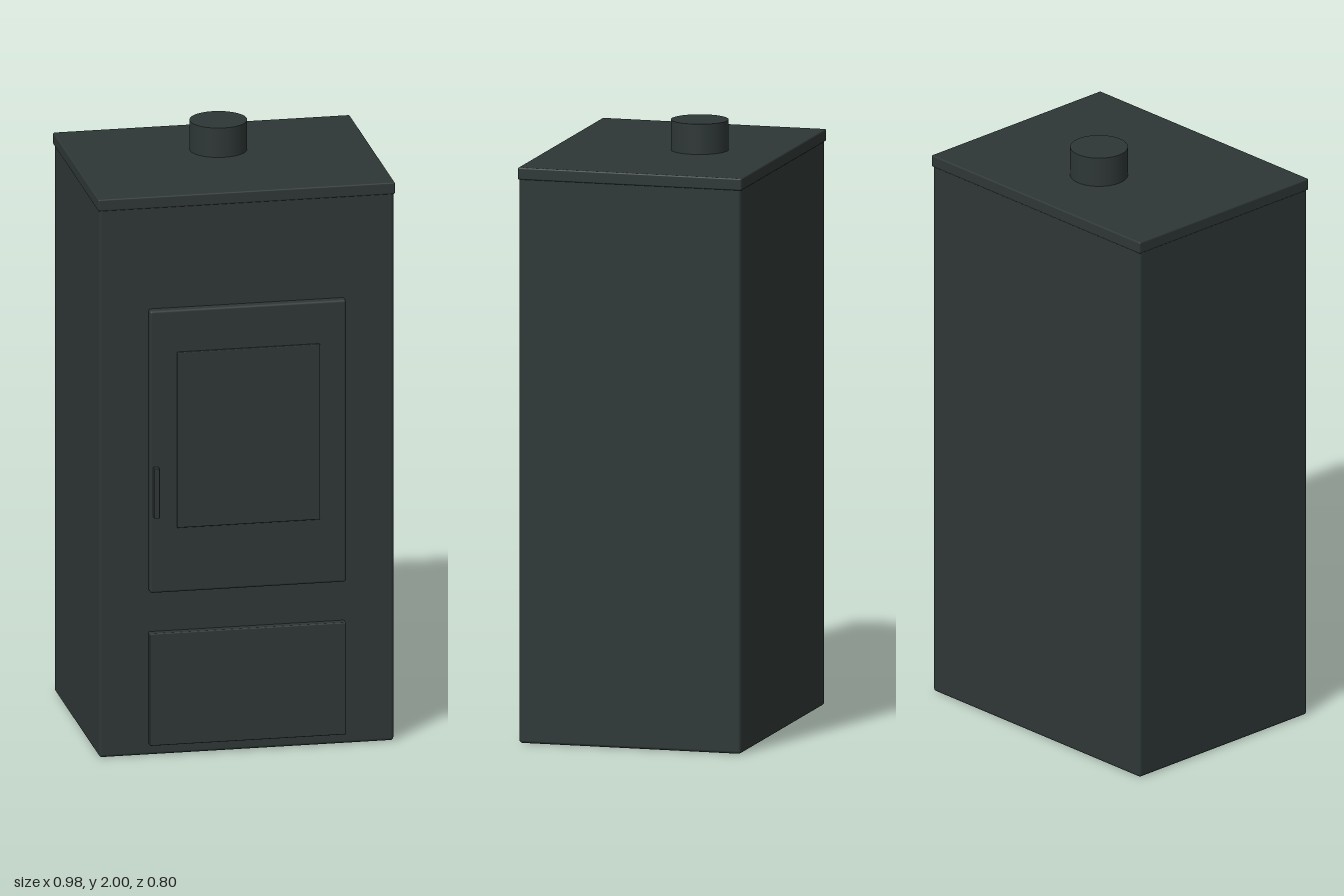
import * as THREE from 'three';
import { RoundedBoxGeometry } from 'three/addons/geometries/RoundedBoxGeometry.js';

const iron = new THREE.MeshStandardMaterial({ color: 0x2e3736 });
iron.name = 'dark iron';

// Rounded box given by its [min, max] range on each axis
function block(name, [x0, x1], [y0, y1], [z0, z1], radius) {
  const geometry = new RoundedBoxGeometry(x1 - x0, y1 - y0, z1 - z0, 3, radius);
  const mesh = new THREE.Mesh(geometry, iron);
  mesh.name = name;
  mesh.position.set((x0 + x1) / 2, (y0 + y1) / 2, (z0 + z1) / 2);
  return mesh;
}

export function createModel() {
  const stove = new THREE.Group();
  stove.name = 'stove';

  // Cabinet and its slightly overhanging top plate
  stove.add(block('body', [-0.488, 0.488], [0, 1.88], [-0.398, 0.353], 0.01));
  stove.add(block('topPlate', [-0.492, 0.492], [1.86, 1.9], [-0.402, 0.356], 0.005));

  // Fire door with raised window and handle
  const door = new THREE.Group();
  door.name = 'fireDoor';
  door.add(block('doorPanel', [-0.325, 0.325], [0.558, 1.518], [0.345, 0.381], 0.008));
  door.add(block('window', [-0.237, 0.237], [0.778, 1.375], [0.37, 0.389], 0.003));
  door.add(block('handle', [-0.315, -0.297], [0.818, 0.988], [0.37, 0.402], 0.002));
  stove.add(door);

  // Lower drawer front
  stove.add(block('drawer', [-0.325, 0.325], [0.038, 0.42], [0.345, 0.379], 0.004));

  // Flue stub
  const flue = new THREE.Mesh(new THREE.CylinderGeometry(0.094, 0.094, 0.12, 48), iron);
  flue.name = 'flue';
  flue.position.set(0, 1.94, -0.117);
  stove.add(flue);

  return stove;
}
